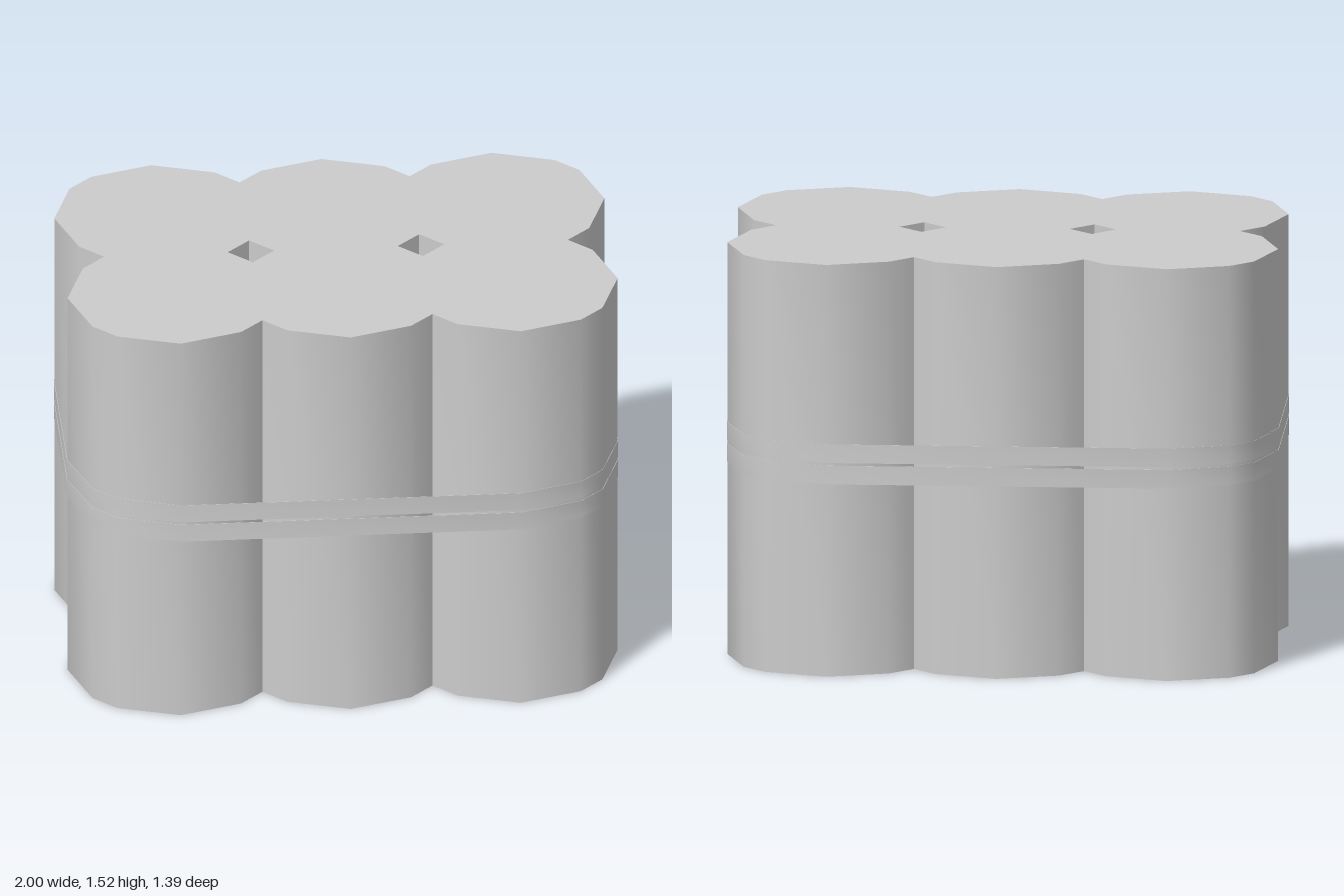
import * as THREE from 'three';
import { toCreasedNormals } from 'three/addons/utils/BufferGeometryUtils.js';

const R = 0.382;                              // can radius
const PITCH = 2 * R * Math.cos(Math.PI / 5);  // spacing between can centres
const HEIGHT = 1.525;
const STEPS = [0, 36, 54];                    // corner angles in each quarter turn
const ANGLES = [];
for (let turn = -90; turn <= 450; turn += 90) STEPS.forEach((a) => ANGLES.push(turn + a));

// Points of one can's wall between two angles (end point left out on request)
function arc(col, row, from, to, radius, keepEnd) {
  return ANGLES.filter((a) => a >= from && (keepEnd ? a <= to : a < to)).map((a) => {
    const t = THREE.MathUtils.degToRad(a);
    return new THREE.Vector2(
      col * PITCH + radius * Math.cos(t),
      row * PITCH / 2 + radius * Math.sin(t));
  });
}

// Upright prism from a plan shape, smooth around the cans and sharp at caps and notches
function prism(shape, height, y) {
  const flat = new THREE.ExtrudeGeometry(shape, { depth: height, bevelEnabled: false });
  const geometry = toCreasedNormals(flat, 0.9);
  geometry.rotateX(-Math.PI / 2);
  geometry.translate(0, y, 0);
  return geometry;
}

// Plan of the straps: the hull around the four corner cans
function hull(radius) {
  return [[1, 1, 0], [-1, 1, 90], [-1, -1, 180], [1, -1, 270]].flatMap(
    ([col, row, from]) => arc(col, row, from, from + 90, radius, true));
}

export function createModel() {
  const model = new THREE.Group();
  model.name = 'sixPack';
  const material = new THREE.MeshStandardMaterial({ color: 0xcccccc });

  // Six cans joined in two rows of three: column, row, visible arc
  const outline = [
    [1, 1, -54, 144], [0, 1, 36, 144], [-1, 1, 36, 234],
    [-1, -1, 126, 324], [0, -1, 216, 324], [1, -1, 216, 414],
  ].flatMap(([col, row, from, to]) => arc(col, row, from, to, R, false));
  const plan = new THREE.Shape(outline);

  // Diamond gaps where four cans meet
  const gap = PITCH / 2 - R * Math.sin(Math.PI / 5);
  for (const side of [-1, 1]) {
    const x = side * PITCH / 2;
    plan.holes.push(new THREE.Path([
      new THREE.Vector2(x + gap, 0), new THREE.Vector2(x, -gap),
      new THREE.Vector2(x - gap, 0), new THREE.Vector2(x, gap),
    ]));
  }
  const cans = new THREE.Mesh(prism(plan, HEIGHT, 0), material);
  cans.name = 'cans';
  model.add(cans);

  // Two thin straps stretched around the pack
  [['lowerStrap', 0.713], ['upperStrap', 0.792]].forEach(([name, y]) => {
    const ring = new THREE.Shape(hull(R + 0.002));
    ring.holes.push(new THREE.Path(hull(R + 0.0005).reverse()));
    const strap = new THREE.Mesh(prism(ring, 0.069, y), material);
    strap.name = name;
    model.add(strap);
  });

  return model;
}
